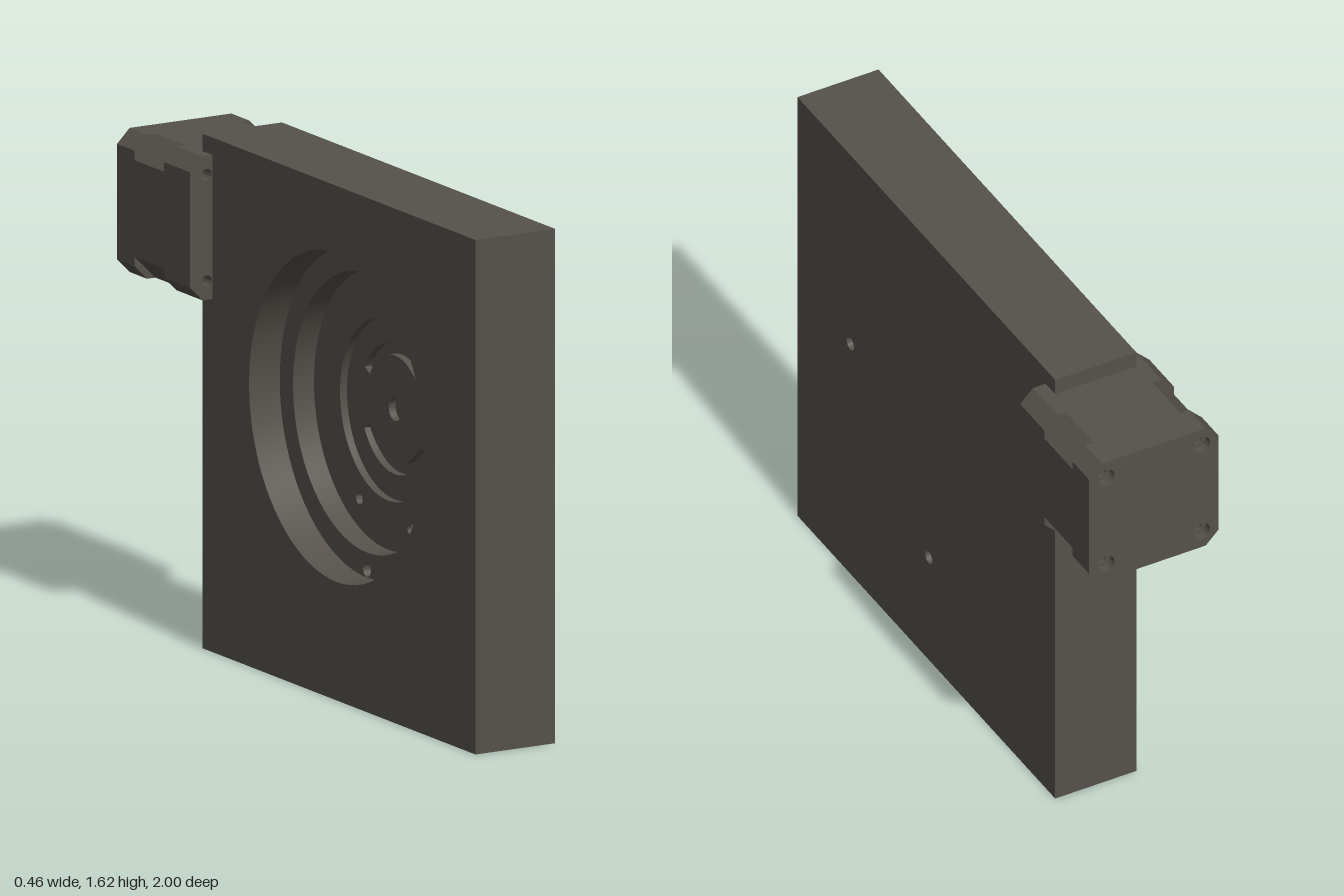
import * as THREE from 'three';
import { toCreasedNormals } from 'three/addons/utils/BufferGeometryUtils.js';

const material = new THREE.MeshStandardMaterial({ color: 0x55514a });

// Recess centre in plate coordinates: u = -z, v = y
const CU = -0.172, CV = 0.893;

function circle(u, v, r) {
  return new THREE.Path().absarc(u, v, r, 0, Math.PI * 2, true);
}

// Round hole placed by an offset from the recess centre
const bore = (du, dv, r) => circle(CU + du, CV + dv, r);

// Curved slot around the recess centre
function arcSlot(r0, r1, a0, a1) {
  const p = new THREE.Path();
  p.absarc(CU, CV, r1, a0, a1, false);
  p.absarc(CU, CV, r0, a1, a0, true);
  p.closePath();
  return p;
}

function outline(points, holes = []) {
  const s = new THREE.Shape(points.map(([x, y]) => new THREE.Vector2(x, y)));
  s.holes.push(...holes);
  return s;
}

function extrude(shape, depth) {
  const g = new THREE.ExtrudeGeometry(shape, { depth, bevelEnabled: false, curveSegments: 40 });
  return toCreasedNormals(g, 0.5);
}

function add(group, name, geometry) {
  const mesh = new THREE.Mesh(geometry, material);
  mesh.name = name;
  group.add(mesh);
  return mesh;
}

// Square plate with a motor notch in its back edge, layered along x
function createHousing() {
  const group = new THREE.Group();
  group.name = 'housing';
  const square = [
    [-1, 0], [0.625, 0], [0.625, 1.115], [0.565, 1.115],
    [0.565, 1.57], [0.625, 1.57], [0.625, 1.625], [-1, 1.625],
  ];
  const screws = () => [bore(-0.495, 0, 0.0225), bore(0, -0.495, 0.0225)];
  const pins = () => [bore(0.17, -0.313, 0.02), bore(-0.13, -0.35, 0.014), bore(-0.155, -0.335, 0.014)];
  const layers = [
    ['recessRim', -0.15, -0.04, [bore(0, 0, 0.519)]],
    ['recessLedge', -0.04, 0.035, [bore(0, 0, 0.44), ...screws()]],
    ['recessFloor', 0.035, 0.06, [bore(0, 0, 0.285), ...screws(), ...pins()]],
    ['slottedDisc', 0.06, 0.085, [
      bore(0, 0, 0.037), ...screws(), bore(-0.245, 0.1, 0.014),
      arcSlot(0.17, 0.205, 0.5, 2.6), arcSlot(0.17, 0.205, 3.6, 5.8),
    ]],
    ['backPanel', 0.085, 0.135, screws()],
  ];
  for (const [name, x0, x1, holes] of layers) {
    const g = extrude(outline(square, holes), x1 - x0);
    g.rotateY(Math.PI / 2).translate(x0, 0, 0);
    add(group, name, g);
  }
  return group;
}

// Square motor with chamfered corners, layered along z
function createMotor() {
  const group = new THREE.Group();
  group.name = 'motor';
  const h = 0.2275, p = 0.168;

  function section(c, holeRadius, socket) {
    const pts = [[-h, -h + c], [-h + c, -h]];
    if (socket) pts.push([-0.035, -h], [-0.035, -h + 0.03], [0.035, -h + 0.03], [0.035, -h]);
    pts.push([h - c, -h], [h, -h + c], [h, h - c], [h - c, h], [-h + c, h], [-h, h - c]);
    const holes = [];
    for (const sx of [-1, 1]) for (const sy of [-1, 1]) holes.push(circle(sx * p, sy * p, holeRadius));
    return outline(pts, holes);
  }

  const layers = [
    ['rearCover', -1, -0.97, 0.045, 0.03, false],
    ['socketSection', -0.97, -0.93, 0.045, 0.018, true],
    ['rearFlange', -0.93, -0.895, 0.045, 0.018, false],
    ['motorBody', -0.895, -0.72, 0.075, 0.018, false],
    ['frontFlange', -0.72, -0.565, 0.045, 0.018, false],
  ];
  for (const [name, z0, z1, chamfer, r, socket] of layers) {
    add(group, name, extrude(section(chamfer, r, socket), z1 - z0).translate(0, 0, z0));
  }

  // Contact tongue inside the socket
  add(group, 'socketTongue', new THREE.BoxGeometry(0.04, 0.025, 0.012)).position.set(0, -h + 0.018, -0.95);

  group.position.set(-0.0025, 1.3425, 0);
  return group;
}

export function createModel() {
  const model = new THREE.Group();
  model.name = 'motorHousing';
  model.add(createHousing(), createMotor());
  return model;
}
